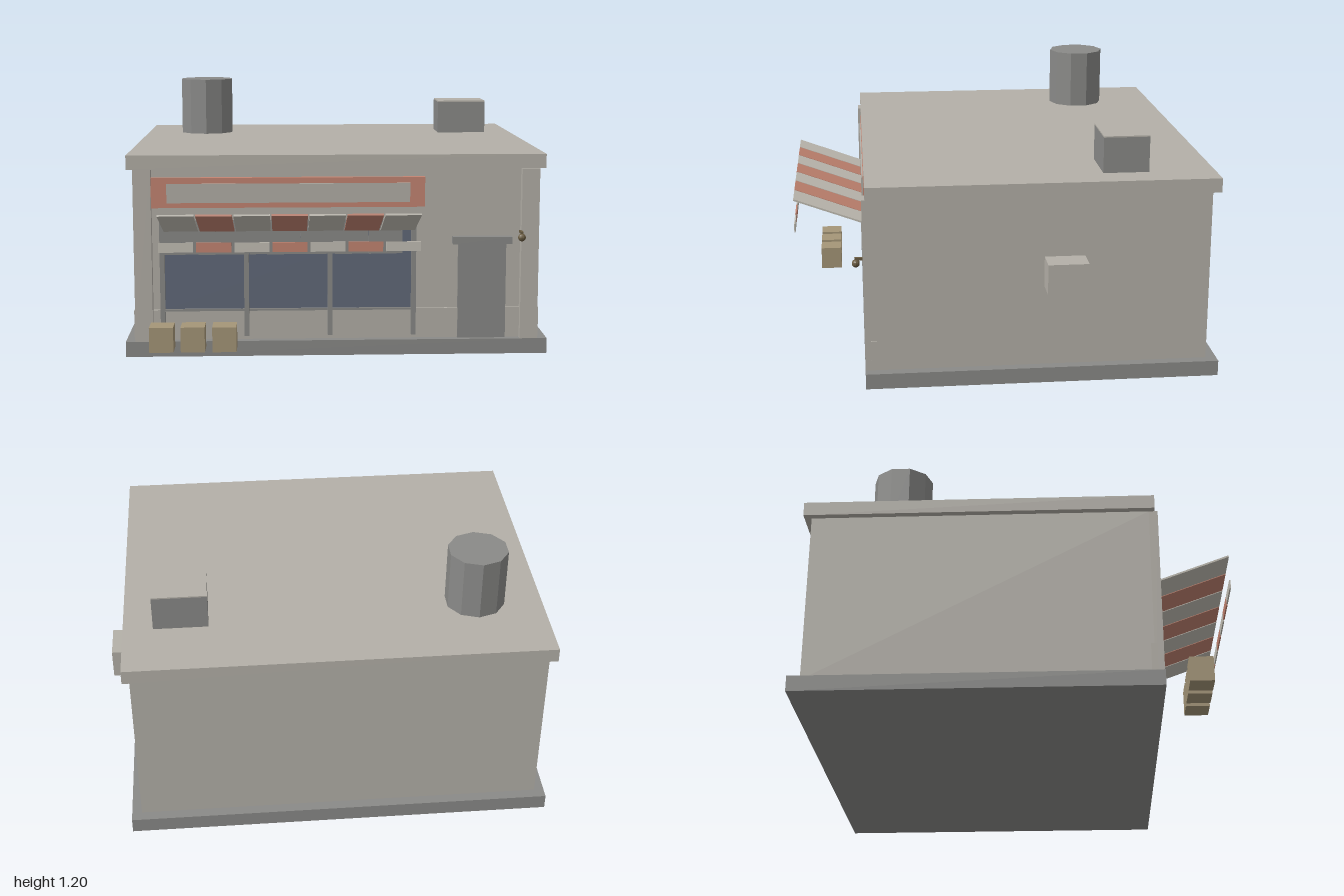
import * as THREE from 'three';

export function createModel() {
  const model = new THREE.Group();
  const mat = (name, color) => {
    const m = new THREE.MeshStandardMaterial({ color, flatShading: true });
    m.name = name;
    return m;
  };
  const wall = mat('plaster', 0xb4b0a8);
  const grey = mat('concrete grey', 0x8a8a88);
  const canvas = mat('pale canvas', 0xc4c0b6);
  const terracotta = mat('terracotta', 0xc48572);
  const glass = mat('blue glass', 0x626a7a);
  const wood = mat('crate wood', 0xa59678);
  const brass = mat('dark brass', 0x6a5c42);

  const add = (name, geometry, material, parent = model) => {
    const mesh = new THREE.Mesh(geometry, material);
    mesh.name = name;
    parent.add(mesh);
    return mesh;
  };
  // Box given by its limits on each axis
  const box = (name, material, x0, x1, y0, y1, z0, z1, parent) => {
    const mesh = add(name, new THREE.BoxGeometry(x1 - x0, y1 - y0, z1 - z0), material, parent);
    mesh.position.set((x0 + x1) / 2, (y0 + y1) / 2, (z0 + z1) / 2);
    return mesh;
  };

  // Building shell
  box('base', grey, -1, 0.925, 0, 0.07, -0.948, 0.634);
  box('walls', wall, -0.955, 0.88, 0.07, 0.856, -0.9, 0.595);
  box('roofSlab', wall, -0.985, 0.91, 0.856, 0.92, -0.932, 0.62);
  box('leftPilaster', wall, 0.8, 0.88, 0.07, 0.856, 0.595, 0.634);
  box('rightPilaster', wall, -0.955, -0.875, 0.07, 0.856, 0.595, 0.634);
  box('plinth', wall, -0.962, 0.888, 0.075, 0.21, 0.58, 0.606);

  // Roof equipment
  const tank = add('roofTank', new THREE.CylinderGeometry(0.136, 0.136, 0.28, 10), grey);
  tank.position.set(-0.68, 1.06, -0.532);
  box('roofVent', grey, 0.53, 0.776, 0.92, 1.08, -0.635, -0.43);
  box('roofVentLid', wall, 0.53, 0.776, 1.08, 1.086, -0.635, -0.43);
  box('wallUnit', wall, 0.88, 0.996, 0.44, 0.577, -0.34, -0.16);

  // Sign board
  box('signFrame', terracotta, -0.875, 0.36, 0.682, 0.818, 0.595, 0.622);
  box('signPanel', wall, -0.805, 0.292, 0.705, 0.792, 0.622, 0.628);

  // Shop window with posts and short hanging strips
  box('windowGlass', glass, -0.82, 0.31, 0.21, 0.615, 0.595, 0.602);
  box('windowHead', grey, -0.84, 0.322, 0.61, 0.626, 0.595, 0.62);
  box('windowSill', grey, -0.84, 0.322, 0.205, 0.215, 0.595, 0.612);
  for (const x of [-0.83, -0.45, -0.07, 0.311]) {
    box('windowPost', grey, x - 0.011, x + 0.011, 0.09, 0.615, 0.595, 0.62);
  }
  const strips = 14, pitch = 1.08 / strips;
  for (let i = 0; i < strips; i++) {
    const x = -0.82 + i * pitch, z = i % 2 ? 0.606 : 0.614;
    box('hangingStrip', grey, x, x + pitch, 0.467, 0.61, z, z + 0.006);
  }

  // Awning panels rise outwards, with a separate valance in front
  const inner = new THREE.Vector2(0.63, 0.58), outer = new THREE.Vector2(0.948, 0.698);
  const slope = outer.clone().sub(inner);
  for (let i = 0; i < 7; i++) {
    const x = -0.742 + i * 0.163;
    const cloth = i % 2 ? terracotta : canvas;
    const panel = add('awningPanel', new THREE.BoxGeometry(0.156, 0.008, slope.length()), cloth);
    panel.position.set(x, (inner.y + outer.y) / 2, (inner.x + outer.x) / 2);
    panel.rotation.x = -slope.angle();
    box('awningValance', cloth, x - 0.075, x + 0.075, 0.538, 0.58, 0.943, 0.949);
  }

  // Door with lintel
  box('door', grey, 0.515, 0.735, 0.07, 0.51, 0.595, 0.61);
  box('doorLintel', grey, 0.488, 0.76, 0.51, 0.543, 0.595, 0.632);

  // Wall lamp
  const lamp = add('lampBulb', new THREE.SphereGeometry(0.018, 10, 8), brass);
  lamp.position.set(0.797, 0.545, 0.664);
  box('lampArm', brass, 0.791, 0.803, 0.56, 0.572, 0.62, 0.67);

  // Crates
  for (const x of [-0.82, -0.682, -0.543]) {
    box('crate', wood, x - 0.053, x + 0.053, 0.073, 0.185, 0.743, 0.848);
  }
  return model;
}
